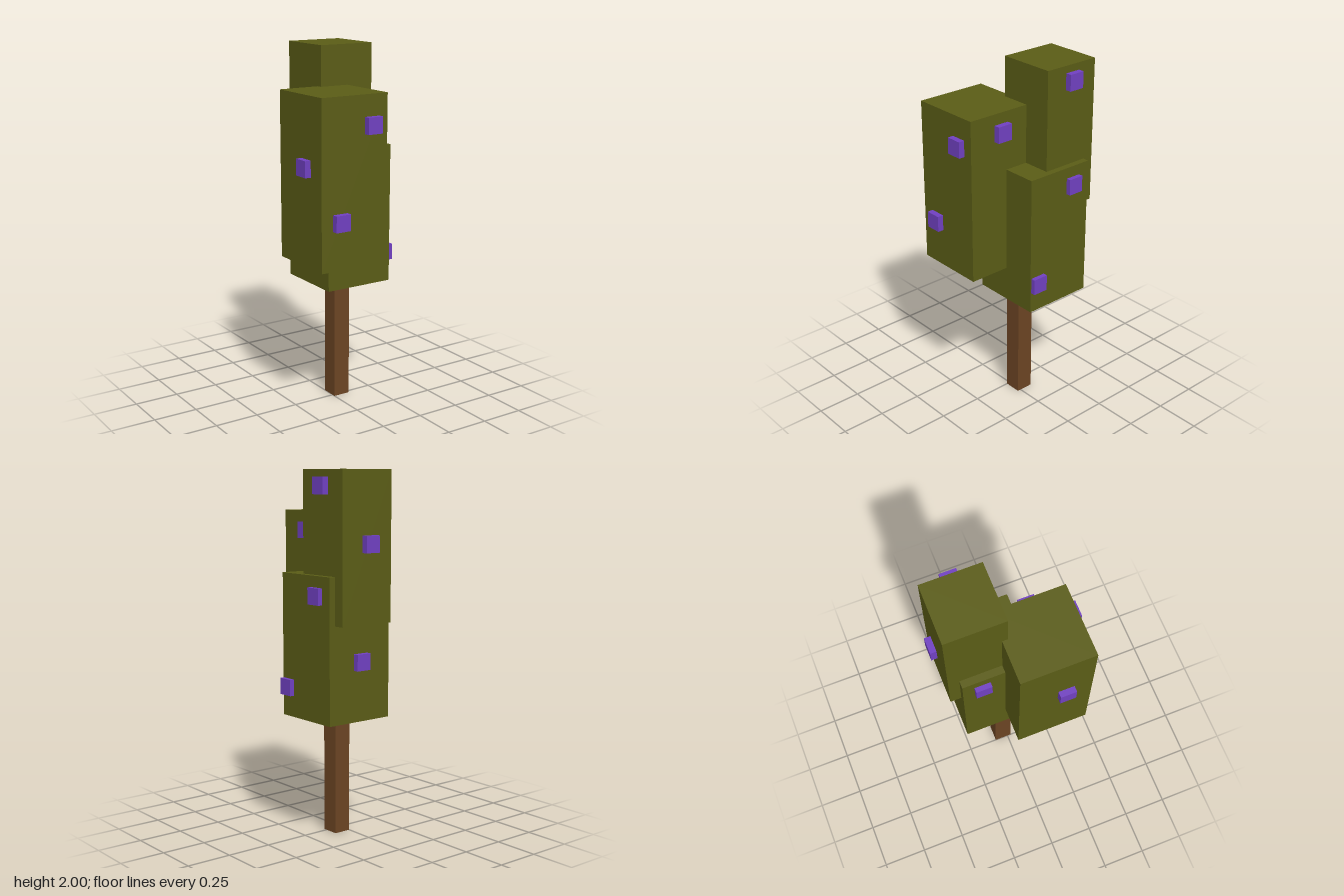
import * as THREE from 'three';

const material = (color) => new THREE.MeshStandardMaterial({ color, flatShading: true });

export function createModel() {
  const model = new THREE.Group();
  const bark = material(0x6b4423);
  const leaves = material(0x5a5c16);
  const fruit = material(0x7040c0);

  // Box given by its lowest and highest corners
  function block(name, min, max, mat) {
    const size = max.map((v, i) => v - min[i]);
    const mesh = new THREE.Mesh(new THREE.BoxGeometry(...size), mat);
    mesh.position.set(...min.map((v, i) => v + size[i] / 2));
    mesh.name = name;
    model.add(mesh);
  }

  // Trunk
  block('trunk', [0, 0, -0.08], [0.098, 0.68, 0.02], bark);

  // Foliage: three overlapping blocks
  block('lowerFoliage', [-0.102, 0.675, -0.287], [0.303, 1.455, 0.117], leaves);
  block('frontFoliage', [-0.297, 0.87, -0.052], [0.108, 1.78, 0.352], leaves);
  block('topFoliage', [-0.06, 1.2, -0.348], [0.267, 2, -0.02], leaves);

  // Berries: thin square tiles, thin along the axis they face
  const width = 0.089, depth = 0.034;
  function berry(axis, x, y, z) {
    const size = axis === 'x' ? [depth, width, width] : [width, width, depth];
    const mesh = new THREE.Mesh(new THREE.BoxGeometry(...size), fruit);
    mesh.position.set(x, y, z);
    mesh.name = 'berry';
    model.add(mesh);
  }

  // On the front foliage
  berry('z', 0.011, 1.62, 0.37);
  berry('z', -0.184, 1.13, 0.37);
  berry('x', -0.314, 1.405, 0.205);
  berry('x', 0.125, 1.675, 0.152);
  // On the top foliage
  berry('x', 0.286, 1.917, -0.188);
  berry('z', 0.097, 1.62, -0.372);
  // On the lower foliage
  berry('x', 0.312, 1.35, -0.178);
  berry('x', 0.312, 0.837, 0.067);
  berry('x', -0.113, 1.35, -0.178);
  berry('z', 0.095, 0.998, -0.3);

  return model;
}
